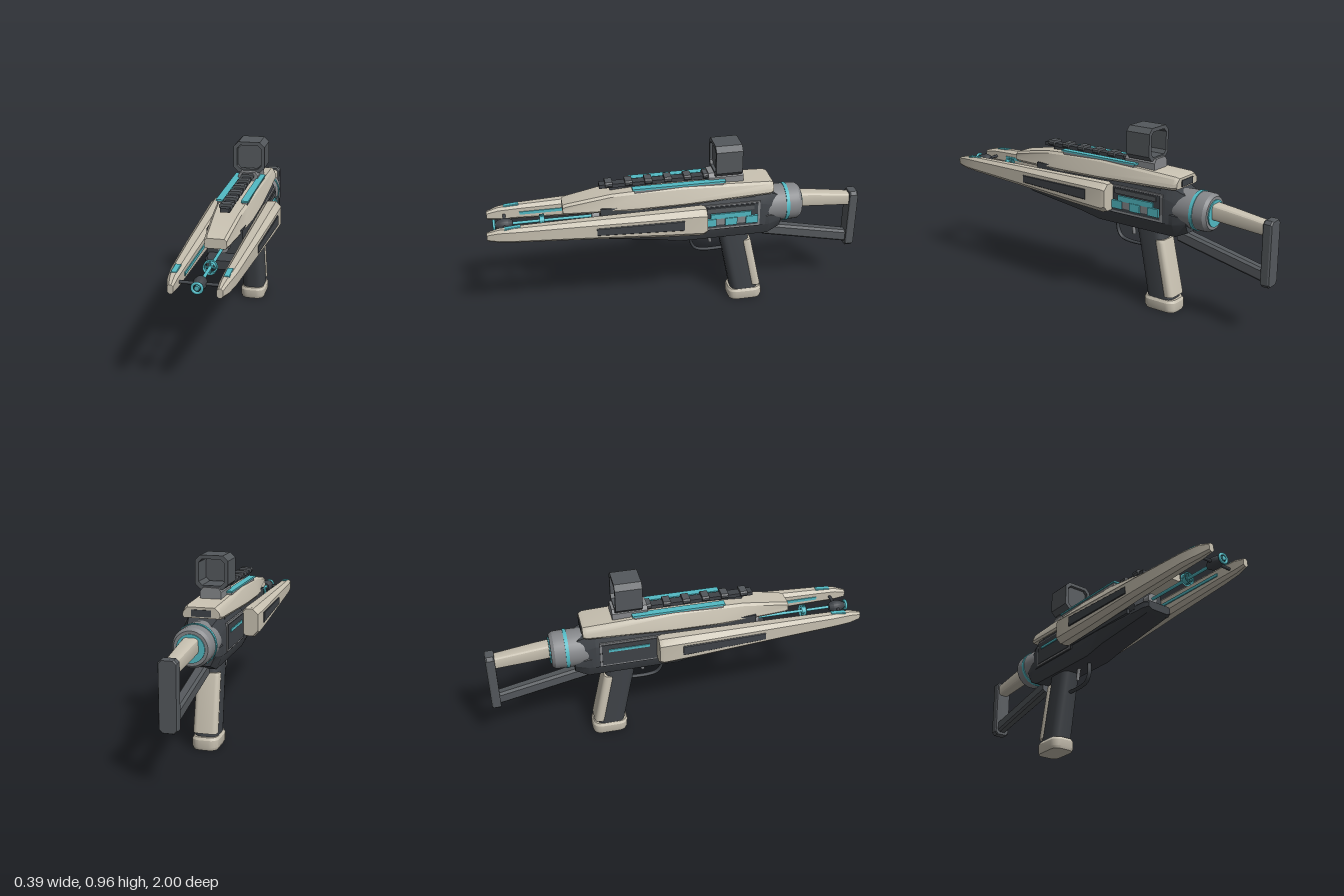
import * as THREE from 'three';
import { toCreasedNormals } from 'three/addons/utils/BufferGeometryUtils.js';

const paint = (name, color) => Object.assign(new THREE.MeshStandardMaterial({ color }), { name });

// Counter-clockwise rectangle with cut (seg 1) or rounded corners
function rectRing(x0, x1, y0, y1, r, seg = 1) {
  const corners = [[x1 - r, y0 + r, -1], [x1 - r, y1 - r, 0], [x0 + r, y1 - r, 1], [x0 + r, y0 + r, 2]];
  const ring = [];
  for (const [cx, cy, q] of corners)
    for (let i = 0; i <= seg; i++) {
      const a = (q + i / seg) * Math.PI / 2;
      ring.push([cx + r * Math.cos(a), cy + r * Math.sin(a)]);
    }
  return ring;
}

// Symmetric ring from the points of its +x half, bottom to top
const halfRing = (pts) => [...pts, ...pts.slice().reverse().map(([x, y]) => [-x, y])];

// Skin over [z, ring] sections listed from high z to low z, capped at both ends
function loft(sections) {
  const pos = [];
  const tri = (...pts) => pts.forEach((p) => pos.push(...p));
  const rings = sections.map(([z, ring]) => ring.map(([x, y]) => [x, y, z]));
  const n = rings[0].length;
  for (let i = 0; i < rings.length - 1; i++)
    for (let j = 0; j < n; j++) {
      const k = (j + 1) % n;
      const a = rings[i][j], b = rings[i][k], c = rings[i + 1][j], d = rings[i + 1][k];
      tri(a, c, d);
      tri(a, d, b);
    }
  const front = rings[0], back = rings[rings.length - 1];
  for (let j = 1; j < n - 1; j++) {
    tri(front[0], front[j], front[j + 1]);
    tri(back[0], back[j + 1], back[j]);
  }
  const geo = new THREE.BufferGeometry();
  geo.setAttribute('position', new THREE.Float32BufferAttribute(pos, 3));
  return toCreasedNormals(geo, 0.45);
}

// Same skin stacked along y: sections are [y, x half width, z front, z back, radius]
const loftUp = (sections, seg) => loft(sections.map(([y, w, zf, zb, r]) =>
  [y, rectRing(-w, w, -zf, -zb, r, seg)])).rotateX(-Math.PI / 2);

export function createModel() {
  const model = new THREE.Group();
  const shell = paint('shell beige', 0xc8c1b1);
  const dark = paint('dark polymer', 0x3f4348);
  const metal = paint('gunmetal', 0x54585c);
  const grey = paint('light grey', 0x85878a);
  const cyan = paint('cyan glow', 0x52bac4);

  const add = (name, geo, mat) => {
    const mesh = new THREE.Mesh(geo, mat);
    mesh.name = name;
    model.add(mesh);
    return mesh;
  };
  // Box given by its limits
  const box = (name, mat, x0, x1, y0, y1, z0, z1) => add(name, new THREE.BoxGeometry(x1 - x0, y1 - y0, z1 - z0)
    .translate((x0 + x1) / 2, (y0 + y1) / 2, (z0 + z1) / 2), mat);
  // Solid of revolution around the z axis, profile [radius, z] in rising z
  const turned = (name, mat, y, profile) => add(name, toCreasedNormals(new THREE.LatheGeometry(
    profile.map(([r, z]) => new THREE.Vector2(r, z)), 32).rotateX(Math.PI / 2), 0.45).translate(0, y, 0), mat);

  // Lower receiver and fore-end
  const lower = (z, w, yb, yt, rise) => [z, halfRing([[w * 0.7, yb], [w, yb + rise], [w, yt - 0.01], [w - 0.01, yt]])];
  add('lowerReceiver', loft([
    lower(0.51, 0.07, 0.505, 0.55, 0.012), lower(0.48, 0.085, 0.495, 0.555, 0.02),
    lower(0.13, 0.1, 0.455, 0.56, 0.06), lower(0.0, 0.1, 0.43, 0.56, 0.07),
    lower(-0.48, 0.1, 0.43, 0.56, 0.07), lower(-0.55, 0.085, 0.462, 0.55, 0.05)]), dark);
  for (const s of [-1, 1]) box('lowerLip', dark, s * 0.09 - 0.015, s * 0.09 + 0.015, 0.52, 0.545, -0.1, 0.38);

  // Upper core and rear housing
  box('upperCore', dark, -0.09, 0.09, 0.53, 0.68, -0.4, 0.42);
  const rear = (z, w, yt) => [z, halfRing([[w, 0.5], [w, yt - 0.06], [w * 0.75, yt]])];
  add('rearHousing', loft([rear(-0.1, 0.105, 0.69), rear(-0.44, 0.105, 0.69), rear(-0.555, 0.075, 0.645)]), dark);

  // Top cover
  const cover = (z, wb, wt, yb, yt) => [z, halfRing([[wb - 0.008, yb], [wb, yb + 0.012],
    [wb - 0.004, yb + 0.03], [wt + 0.012, yt - 0.012], [wt, yt]])];
  add('topCover', loft([
    cover(0.61, 0.056, 0.042, 0.65, 0.7), cover(0.59, 0.06, 0.045, 0.648, 0.708),
    cover(0.36, 0.09, 0.06, 0.655, 0.748), cover(0.22, 0.105, 0.07, 0.66, 0.758),
    cover(-0.02, 0.11, 0.075, 0.665, 0.763), cover(-0.48, 0.102, 0.075, 0.68, 0.745),
    cover(-0.5, 0.095, 0.068, 0.685, 0.738)]), shell);
  box('coverRearPlate', dark, -0.05, 0.05, 0.692, 0.726, -0.504, -0.498);

  // Long side arms with inlays, mirrored
  const armSections = [ // z, inner x, outer x, bottom, top, chamfer
    [1.0, 0.097, 0.125, 0.578, 0.622, 0.009], [0.94, 0.094, 0.14, 0.568, 0.64, 0.013],
    [0.84, 0.093, 0.153, 0.564, 0.647, 0.016], [0.5, 0.093, 0.17, 0.548, 0.656, 0.02],
    [0.1, 0.093, 0.187, 0.522, 0.664, 0.026], [-0.1, 0.093, 0.195, 0.513, 0.668, 0.028],
    [-0.122, 0.097, 0.189, 0.52, 0.662, 0.028]];
  for (const s of [-1, 1]) {
    const span = (a, b) => (s > 0 ? [a, b] : [-b, -a]);
    add('sideArm', loft(armSections.map(([z, a, b, y0, y1, c]) =>
      [z, rectRing(...span(a, b), y0, y1, c)])), shell);
    add('armOuterPlate', loft([[0.45, rectRing(...span(0.168, 0.1765), 0.577, 0.618, 0.003)],
      [0.0, rectRing(...span(0.187, 0.197), 0.568, 0.624, 0.003)]]), dark);
    add('armTipInlay', loft([[0.91, rectRing(...span(0.106, 0.134), 0.636, 0.6455, 0.002)],
      [0.83, rectRing(...span(0.106, 0.134), 0.642, 0.6515, 0.002)]]), cyan);
    box('armInnerStrip', cyan, ...span(0.088, 0.095), 0.596, 0.612, 0.38, 0.83);
    box('coverStrip', cyan, ...span(0.046, 0.083), 0.765, 0.774, -0.24, 0.25);
    box('coverStripBase', grey, ...span(0.05, 0.078), 0.75, 0.766, -0.23, 0.24);
  }

  // Exposed barrel with focus ring and muzzle
  const along = (r, z0, z1) => new THREE.CylinderGeometry(r, r, z1 - z0, 16).rotateX(Math.PI / 2).translate(0, 0.6, (z0 + z1) / 2);
  add('barrel', along(0.008, 0.4, 0.96), cyan);
  add('barrelRoot', along(0.03, 0.4, 0.46), grey);
  turned('focusRing', cyan, 0.6, [[0.026, 0.705], [0.034, 0.705], [0.034, 0.73], [0.026, 0.73], [0.026, 0.705]].reverse())
    .material = cyan;
  for (const turn of [0, Math.PI / 2])
    add('focusSpoke', new THREE.BoxGeometry(0.056, 0.007, 0.012).rotateZ(turn).translate(0, 0.6, 0.718), cyan);
  turned('muzzle', dark, 0.6, [[0, 0.865], [0.017, 0.867], [0.03, 0.89], [0.032, 0.91], [0.027, 0.935], [0.016, 0.955], [0, 0.957]]);
  add('muzzleTip', new THREE.TorusGeometry(0.023, 0.007, 10, 28).translate(0, 0.6, 0.963), cyan);
  add('muzzleCore', along(0.012, 0.95, 0.969), cyan);
  add('muzzleCrossbar', new THREE.CylinderGeometry(0.008, 0.008, 0.2, 12).rotateZ(Math.PI / 2).translate(0, 0.6, 0.91), dark);

  // Accessory rail
  box('rail', dark, -0.023, 0.023, 0.765, 0.785, -0.2, 0.415);
  box('railFoot', dark, -0.015, 0.015, 0.735, 0.767, -0.2, 0.36);
  for (let i = 0; i < 6; i++) {
    const z = 0.365 - i * 0.103;
    add('railTooth', loft([[z + 0.019, rectRing(-0.035, 0.035, 0.772, 0.799, 0.008)],
      [z - 0.019, rectRing(-0.035, 0.035, 0.772, 0.799, 0.008)]]), metal);
  }

  // Sight: mount, open hood and lens
  const mount = halfRing([[0.055, 0.745], [0.055, 0.785], [0.04, 0.806]]);
  add('sightMount', loft([[-0.155, mount], [-0.34, mount]]), grey);
  const points = (ring) => ring.map(([x, y]) => new THREE.Vector2(x, y));
  const hood = new THREE.Shape(points(rectRing(-0.085, 0.085, 0.795, 0.965, 0.026)));
  hood.holes.push(new THREE.Path(points(rectRing(-0.066, 0.066, 0.814, 0.946, 0.018)).reverse()));
  add('sightHood', new THREE.ExtrudeGeometry(hood, { depth: 0.14, bevelEnabled: false }).translate(0, 0, -0.326), metal);
  const lens = rectRing(-0.063, 0.063, 0.817, 0.943, 0.018);
  add('sightLens', loft([[-0.2, lens], [-0.207, lens]]), metal);

  // Rear collar with glowing rings
  turned('rearCollar', grey, 0.575, [[0, -0.667], [0.085, -0.667], [0.098, -0.65], [0.1, -0.63],
    [0.1, -0.53], [0.092, -0.43], [0, -0.43]]);
  turned('collarRing', cyan, 0.575, [[0.09, -0.594], [0.104, -0.594], [0.104, -0.576], [0.09, -0.576]]);
  turned('collarRearGlow', cyan, 0.575, [[0, -0.673], [0.07, -0.673], [0.07, -0.665]]);

  // Shoulder stock
  add('stockTube', loft([[-0.64, rectRing(-0.04, 0.04, 0.55, 0.632, 0.018, 3)],
    [-0.75, rectRing(-0.038, 0.038, 0.54, 0.62, 0.018, 3)],
    [-0.96, rectRing(-0.032, 0.032, 0.523, 0.592, 0.016, 3)]]), shell);
  add('stockStrut', loft([[-0.47, rectRing(-0.032, 0.032, 0.392, 0.46, 0.012)],
    [-0.96, rectRing(-0.028, 0.028, 0.285, 0.355, 0.012)]]), metal);
  const butt = (z, m) => [z, rectRing(-0.045 + m, 0.045 - m, 0.268 + m, 0.607 - m, 0.016)];
  add('buttPlate', loft([butt(-0.953, 0.004), butt(-0.959, 0), butt(-0.992, 0), butt(-1, 0.004)]), metal);

  // Grip with backstrap and foot
  add('grip', loftUp([[0.46, 0.056, -0.215, -0.375, 0.04], [0.3, 0.058, -0.25, -0.405, 0.04],
    [0.05, 0.061, -0.3, -0.455, 0.04]], 4), dark);
  add('gripBackstrap', loftUp([[0.385, 0.058, -0.345, -0.397, 0.024], [0.37, 0.061, -0.346, -0.402, 0.024],
    [0.085, 0.064, -0.405, -0.464, 0.026]], 4), shell);
  add('gripFoot', loftUp([[0.066, 0.062, -0.286, -0.466, 0.04], [0.052, 0.07, -0.28, -0.474, 0.045],
    [0.015, 0.07, -0.282, -0.476, 0.045], [0, 0.064, -0.288, -0.472, 0.04]], 4), shell);

  // Trigger and guard
  const path = (pts) => new THREE.CatmullRomCurve3(pts.map(([z, y]) => new THREE.Vector3(0, y, z)));
  const guard = path([[-0.072, 0.44], [-0.075, 0.37], [-0.1, 0.333], [-0.15, 0.32], [-0.25, 0.32]]);
  add('triggerGuard', new THREE.TubeGeometry(guard, 28, 0.008, 8).scale(1.6, 1, 1), dark);
  add('trigger', new THREE.TubeGeometry(path([[-0.165, 0.44], [-0.175, 0.4], [-0.18, 0.365]]), 10, 0.01, 8), grey);

  // Left side energy cells
  box('cellBay', grey, 0.1, 0.108, 0.505, 0.65, -0.425, -0.11);
  box('cellBayInset', dark, 0.1, 0.111, 0.515, 0.642, -0.412, -0.11);
  box('cellTopPlate', metal, 0.1, 0.117, 0.61, 0.635, -0.39, -0.135);
  box('cellBar', cyan, 0.1, 0.12, 0.573, 0.601, -0.375, -0.155);
  box('cellTray', grey, 0.1, 0.116, 0.535, 0.573, -0.405, -0.12);
  for (let i = 0; i < 3; i++) box('energyCell', cyan, 0.1, 0.124, 0.531, 0.574, -0.41 + i * 0.113, -0.345 + i * 0.113);

  // Right side panel
  box('panelFrame', grey, -0.109, -0.1, 0.505, 0.65, -0.42, -0.11);
  box('panelFace', dark, -0.113, -0.104, 0.515, 0.64, -0.41, -0.115);
  box('panelStripe', cyan, -0.118, -0.11, 0.597, 0.612, -0.375, -0.16);

  return model;
}
